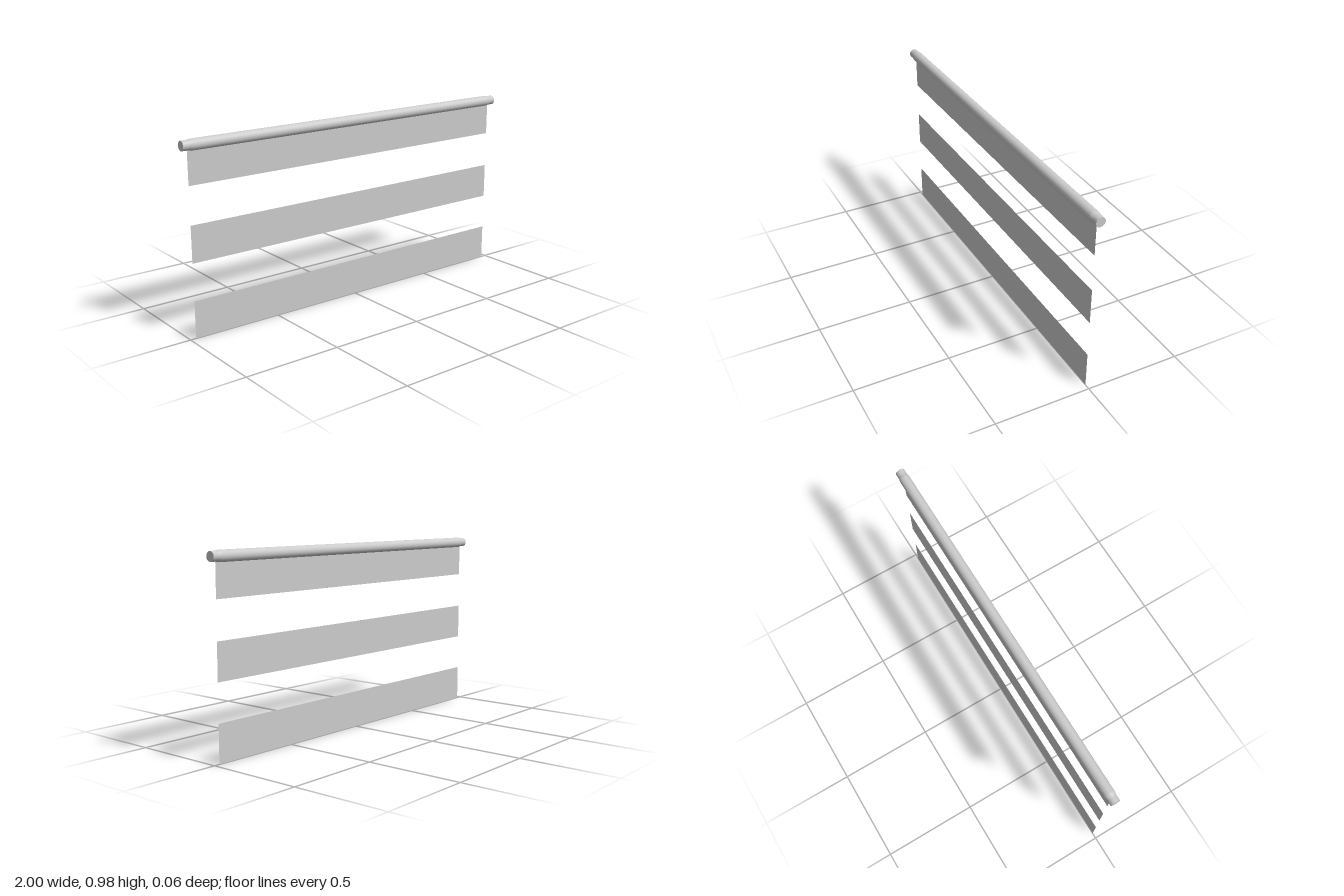
import * as THREE from 'three';

const ROLLER_Y = 0.949, TUBE_R = 0.028, PIN_R = 0.0245;

export function createModel() {
  const group = new THREE.Group();
  const material = new THREE.MeshStandardMaterial({ color: 0xcccccc });
  const fabricMaterial = new THREE.MeshStandardMaterial({ color: 0xcccccc, side: THREE.DoubleSide });

  const add = (name, geometry, mat, x, y) => {
    const mesh = new THREE.Mesh(geometry, mat);
    mesh.name = name;
    mesh.position.set(x, y, 0);
    group.add(mesh);
  };
  // Cylinder along x between two ends, with the radius at each end
  const rod = (name, x0, x1, r0, r1, open) => {
    const geometry = new THREE.CylinderGeometry(r1, r0, x1 - x0, 32, 1, open);
    geometry.rotateZ(-Math.PI / 2);
    add(name, geometry, material, (x0 + x1) / 2, ROLLER_Y);
  };

  // Roller tube with tapered shoulders and end pins
  rod('rollerTube', -0.95, 0.95, TUBE_R, TUBE_R, true);
  rod('rightShoulder', -0.97, -0.95, PIN_R, TUBE_R, true);
  rod('leftShoulder', 0.95, 0.97, TUBE_R, PIN_R, true);
  rod('rightPin', -1, -0.97, PIN_R, PIN_R, false);
  rod('leftPin', 0.97, 1, PIN_R, PIN_R, false);

  // Thin fabric bands hanging below the roller, evenly spaced
  const bands = [[0, 0.19], [0.38, 0.567], [0.757, ROLLER_Y]];
  bands.forEach(([bottom, top], i) => {
    add(`fabricBand${i + 1}`, new THREE.PlaneGeometry(1.94, top - bottom), fabricMaterial, 0, (bottom + top) / 2);
  });

  return group;
}
